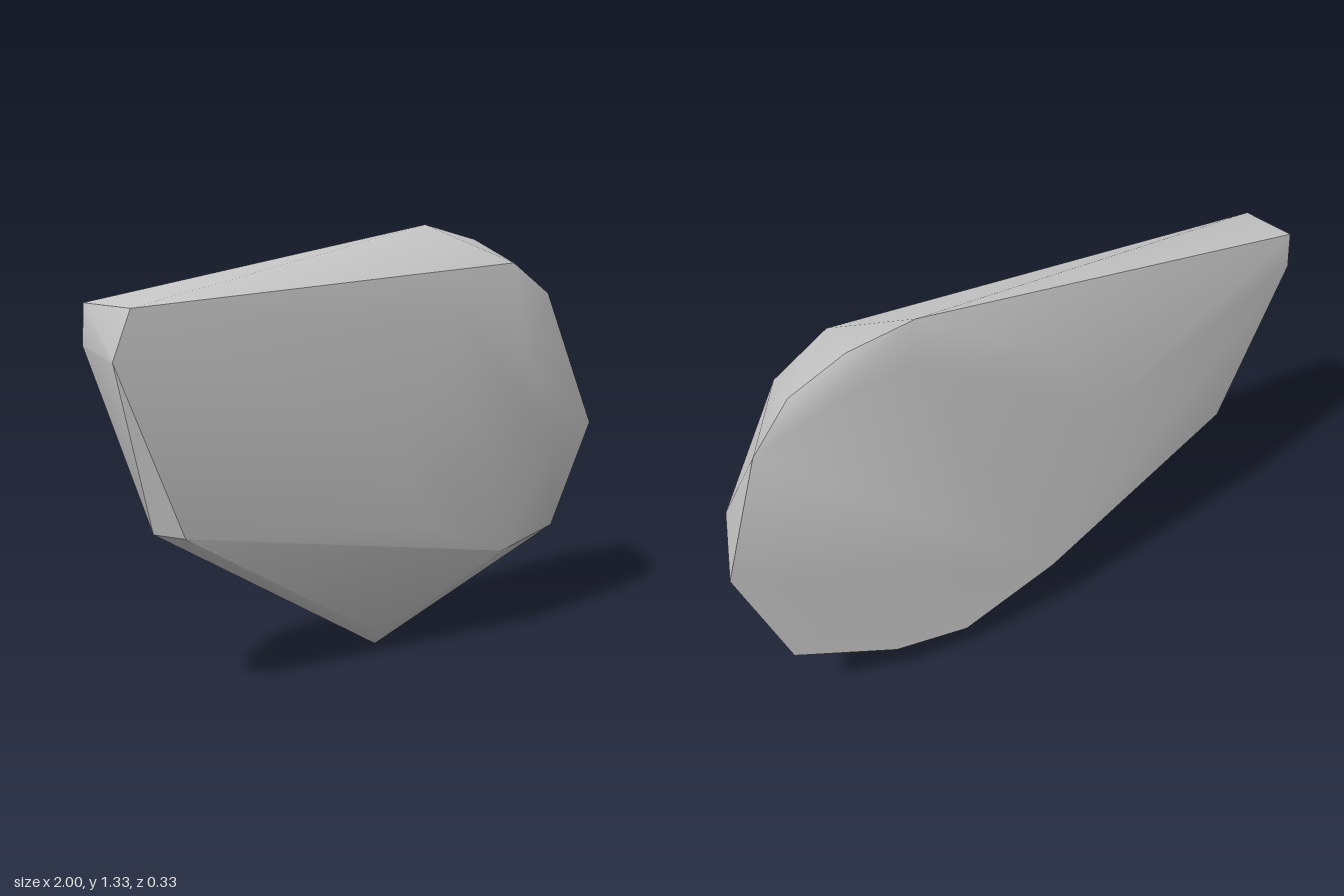
import * as THREE from 'three';
import { ConvexGeometry } from 'three/addons/geometries/ConvexGeometry.js';
import { toCreasedNormals } from 'three/addons/utils/BufferGeometryUtils.js';

export function createModel() {
  const group = new THREE.Group();
  group.name = 'rock';
  const stone = new THREE.MeshStandardMaterial({ color: 0xc8c8c8 });
  stone.name = 'light grey stone';

  // Corners of the chipped front
  const front = [
    [-0.95, 1.155, 0.112], [0.54, 1.21, 0.095], [0.72, 1.1, 0.08], [0.9, 0.65, 0.115],
    [0.71, 0.32, 0.12], [0.03, 0.04, 0.02], [-0.79, 0.495, 0.122], [-1, 1.01, 0.095],
  ];
  // Slightly raised plateau on the front
  const plateau = [
    [0.23, 1.05], [0.55, 0.87], [0.68, 0.62], [0.43, 0.28], [0.1, 0.42], [-0.01, 0.66],
  ].map(([x, y]) => [x, y, 0.164]);
  // Flat back
  const back = [
    [1, 0.64], [0.89, 1.05], [0.65, 1.14], [0.4, 1.19], [-0.05, 1.08], [-0.25, 0.8],
    [-0.08, 0.23], [0.24, 0.095], [0.49, 0.12], [0.83, 0.26],
  ].map(([x, y]) => [x, y, -0.164]);
  // Top ridge, narrow end and lowest tip
  const rim = [
    [0.37, 1.33, -0.148], [0.58, 1.275, -0.13], [0.76, 1.185, -0.13],
    [-0.985, 1.16, -0.07], [-0.99, 1.04, -0.07], [-0.85, 0.505, 0.05],
    [-0.77, 0.52, -0.06], [0.04, 0, -0.02],
  ];

  const points = [...front, ...plateau, ...back, ...rim].map((p) => new THREE.Vector3(...p));
  const slab = new THREE.Mesh(toCreasedNormals(new ConvexGeometry(points), 0.55), stone);
  slab.name = 'stoneSlab';
  group.add(slab);
  return group;
}
